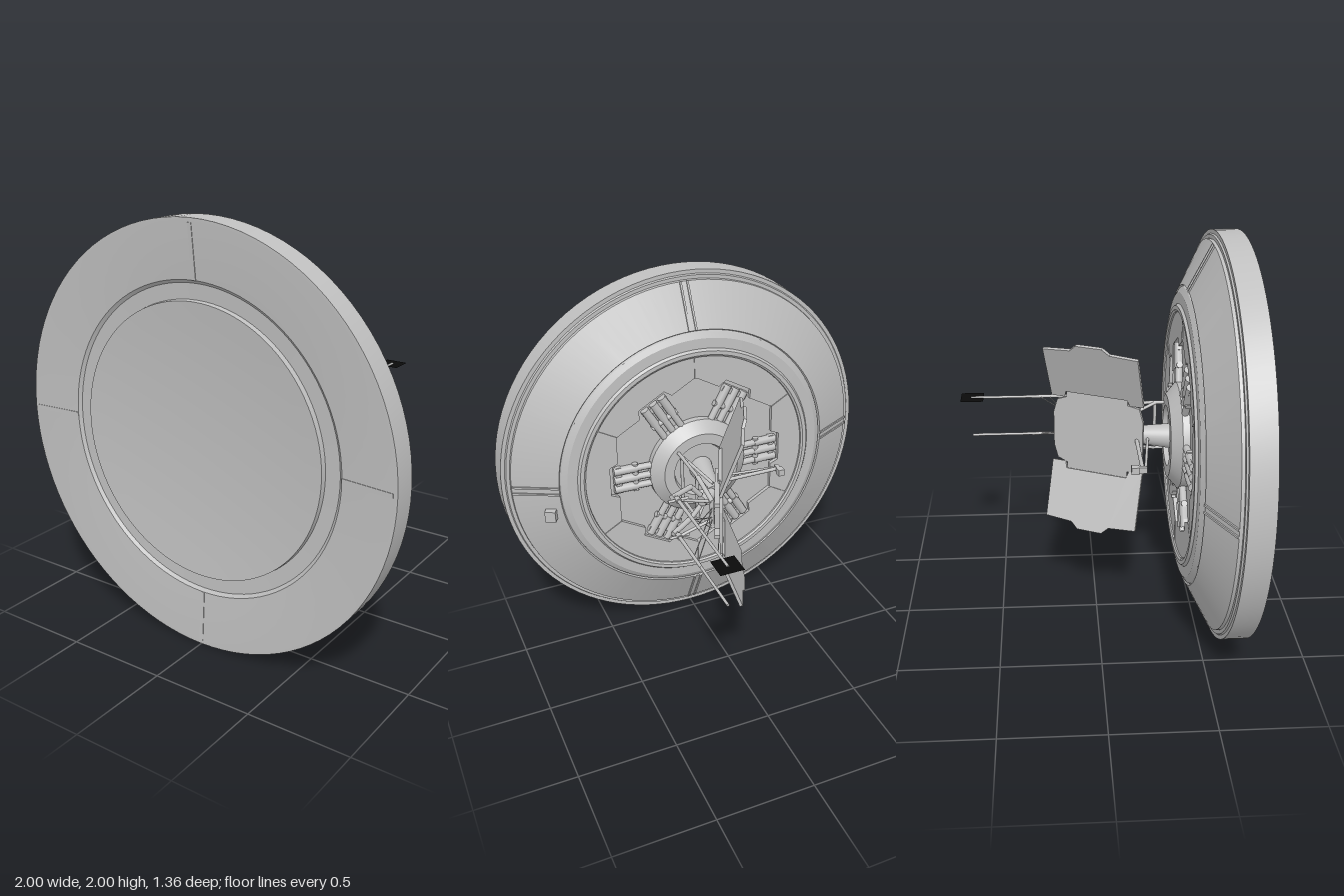
import * as THREE from 'three';
import { toCreasedNormals } from 'three/addons/utils/BufferGeometryUtils.js';

const grey = new THREE.MeshStandardMaterial({ color: 0xc0c0c0 });
grey.name = 'hull grey';
const black = new THREE.MeshStandardMaterial({ color: 0x0a0a0a, side: THREE.DoubleSide });
black.name = 'matte black';

const V = (x, y, z) => new THREE.Vector3(x, y, z);

function add(parent, name, geo, mat = grey) {
  const m = new THREE.Mesh(geo, mat);
  m.name = name;
  parent.add(m);
  return m;
}

// Round bar between two points, optionally tapered
function strut(parent, name, a, b, r, r2 = r, sides = 10) {
  const dir = b.clone().sub(a);
  const m = add(parent, name, new THREE.CylinderGeometry(r2, r, dir.length(), sides));
  m.position.copy(a).add(b).multiplyScalar(0.5);
  m.quaternion.setFromUnitVectors(V(0, 1, 0), dir.normalize());
  return m;
}

// Turned part about the z axis; profile pairs are [radius, z]
function turned(parent, name, pts, seg = 96) {
  const g = new THREE.LatheGeometry(pts.map(p => new THREE.Vector2(p[0], p[1])), seg);
  g.rotateX(Math.PI / 2);
  return add(parent, name, toCreasedNormals(g, 0.3));
}

function plate(parent, name, pts, depth) {
  const g = new THREE.ExtrudeGeometry(new THREE.Shape(pts.map(p => new THREE.Vector2(p[0], p[1]))),
    { depth, bevelEnabled: false });
  g.translate(0, 0, -depth / 2);
  return add(parent, name, g);
}

// Thin rail laid radially along a sloping surface from [r, z] to [r, z]
function radialRail(parent, name, p, q, offset, w, h) {
  const len = Math.hypot(q[0] - p[0], q[1] - p[1]);
  const m = add(parent, name, new THREE.BoxGeometry(len, w, h));
  m.position.set((p[0] + q[0]) / 2, offset, (p[1] + q[1]) / 2);
  m.rotation.y = -Math.atan2(q[1] - p[1], q[0] - p[0]);
}

function buildDish(g) {
  // Rear bay, lip, sloping back, rim, shallow front ring, raised front disc
  const profile = [[0, 0.43], [0.605, 0.43], [0.608, 0.402], [0.618, 0.395], [0.638, 0.395], [0.648, 0.408],
    [0.7, 0.41], [0.728, 0.426], [0.733, 0.436], [0.739, 0.427], [0.955, 0.537], [0.957, 0.552], [0.975, 0.552],
    [0.98, 0.56], [1, 0.56], [1, 0.68], [0.985, 0.68], [0.735, 0.658], [0.72, 0.645], [0.648, 0.642], [0.645, 0.668]];
  for (let i = 1; i <= 8; i++) {
    const r = 0.645 * (1 - i / 8);
    profile.push([r, 0.636 + 0.032 * (r / 0.645) ** 2]);
  }
  turned(g, 'dish', profile);

  // Seams dividing the dish into quarters
  for (let i = 0; i < 4; i++) {
    const seam = new THREE.Group();
    seam.name = 'quarterSeam';
    seam.rotation.z = i * Math.PI / 2;
    for (const s of [-1, 1]) {
      radialRail(seam, 'rearSeamRail', [0.738, 0.427], [0.955, 0.537], s * 0.018, 0.01, 0.014);
    }
    radialRail(seam, 'frontSeamRail', [0.735, 0.657], [0.98, 0.678], 0, 0.02, 0.008);
    g.add(seam);
  }

  // Small sensor box on the rear slope
  const box = add(g, 'sensorBox', new THREE.BoxGeometry(0.055, 0.06, 0.045));
  box.position.set(0.79, -0.135, 0.443);
  box.rotation.y = -0.49;
}

function buildRearBay(g) {
  // Floor plates with a hexagonal opening notched for each actuator
  const shape = new THREE.Shape().absarc(0, 0, 0.606, 0, Math.PI * 2);
  const hole = new THREE.Path();
  const apothem = 0.43, half = 0.248;
  const edge = [[apothem, -half], [apothem, -0.1], [0.475, -0.08], [0.475, 0.08], [apothem, 0.1]];
  const pts = [];
  for (let i = 0; i < 6; i++) {
    const a = i * Math.PI / 3;
    for (const [x, y] of edge) {
      pts.push(new THREE.Vector2(x * Math.cos(a) - y * Math.sin(a), x * Math.sin(a) + y * Math.cos(a)));
    }
  }
  hole.setFromPoints(pts.reverse());
  shape.holes.push(hole);
  const floor = new THREE.ExtrudeGeometry(shape, { depth: 0.025, bevelEnabled: false, curveSegments: 48 });
  floor.translate(0, 0, 0.409);
  add(g, 'bayPlates', floor);

  for (let i = 0; i < 6; i++) {
    const unit = new THREE.Group();
    unit.name = 'actuator';
    unit.rotation.z = i * Math.PI / 3;
    // Triple cylinders with a cross shaft and foot
    for (const y of [-0.052, 0, 0.052]) {
      strut(unit, 'actuatorRod', V(0.24, y, 0.41), V(0.36, y, 0.415), 0.018);
      strut(unit, 'actuatorBody', V(0.33, y, 0.415), V(0.455, y, 0.418), 0.023);
    }
    strut(unit, 'actuatorShaft', V(0.34, -0.078, 0.415), V(0.34, 0.078, 0.415), 0.016);
    const foot = add(unit, 'actuatorFoot', new THREE.BoxGeometry(0.03, 0.15, 0.025));
    foot.position.set(0.43, 0, 0.42);
    // Plate seam at the hexagon corner
    const seam = new THREE.Group();
    seam.rotation.z = Math.PI / 6;
    seam.name = 'plateSeam';
    radialRail(seam, 'plateSeamRail', [0.495, 0.409], [0.606, 0.409], 0, 0.008, 0.01);
    unit.add(seam);
    g.add(unit);
  }

  // Recessed hub collar and leaning, tapered post
  turned(g, 'hub', [[0, 0.37], [0.14, 0.37], [0.15, 0.345], [0.205, 0.345], [0.265, 0.395], [0.265, 0.43]], 48);
  strut(g, 'post', V(-0.005, 0, 0.375), V(0.032, 0, 0.115), 0.063, 0.034, 32);
}

function buildPanel(g) {
  // Three-leaf panel with both outer leaves folded back
  const panel = new THREE.Group();
  panel.name = 'foldedPanel';
  panel.position.set(0.035, 0, 0.005);
  panel.rotation.y = Math.atan2(0.91, 0.4);
  plate(panel, 'centreLeaf', [[-0.24, -0.1], [-0.22, -0.17], [-0.16, -0.18], [-0.16, -0.22], [0.16, -0.22],
    [0.16, -0.18], [0.21, -0.16], [0.23, -0.09], [0.23, 0.09], [0.21, 0.16], [0.16, 0.18], [0.16, 0.22],
    [-0.16, 0.22], [-0.16, 0.18], [-0.22, 0.17], [-0.24, 0.1]], 0.016);
  for (const s of [1, -1]) {
    const wing = plate(panel, 'outerLeaf', [[-0.24, -0.01], [-0.17, -0.01], [-0.16, 0.025], [0.16, 0.025],
      [0.17, -0.01], [0.24, -0.01], [0.24, 0.285], [0.1, 0.295], [0.065, 0.328], [-0.065, 0.328],
      [-0.1, 0.295], [-0.24, 0.285]], 0.016);
    wing.position.y = s * 0.19;
    wing.rotation.set(-s * 0.35, 0, s > 0 ? 0 : Math.PI);
    strut(panel, 'hinge', V(-0.15, s * 0.21, 0.006), V(0.15, s * 0.21, 0.006), 0.011);
  }
  // Backing frame of the centre leaf
  for (const y of [-0.09, 0.09]) {
    add(panel, 'backRib', new THREE.BoxGeometry(0.34, 0.02, 0.03)).position.set(0, y, 0.018);
  }
  for (const x of [-0.1, 0.1]) {
    add(panel, 'backRib', new THREE.BoxGeometry(0.02, 0.18, 0.03)).position.set(x, 0, 0.018);
  }
  g.add(panel);
}

function buildFrame(g) {
  strut(g, 'pivotShaft', V(0.04, 0, 0.11), V(0.12, 0, 0.06), 0.028, 0.028, 16);
  for (const s of [1, -1]) {
    const y = s * 0.125, b = s * 0.105;
    // Support rails and truss
    strut(g, 'supportRail', V(0.125, y, 0.36), V(0.125, y, 0.09), 0.009);
    strut(g, 'supportRail', V(0.125, y, 0.09), V(0.115, s * 0.07, -0.07), 0.012);
    strut(g, 'diagonalBrace', V(0.12, y, 0.3), V(0.04, s * 0.06, 0.1), 0.008);
    strut(g, 'crossBrace', V(0.05, 0, 0.13), V(0.125, y, 0.1), 0.008);
    strut(g, 'boomBrace', V(0.12, s * 0.03, 0.07), V(0.17, s * 0.09, 0.07), 0.013);
    strut(g, 'boomArm', V(0.17, s * 0.09, 0.07), V(0.3, b, -0.01), 0.014);
    strut(g, 'boomStay', V(0.1, s * 0.05, -0.04), V(0.28, b, -0.04), 0.008);
    // Antenna booms
    strut(g, 'boomBase', V(0.28, b, 0), V(0.28, b, -0.32), 0.01, 0.008);
    strut(g, 'boom', V(0.28, b, -0.3), V(0.28, b, -0.63), 0.007);
    strut(g, 'boomCrossbar', V(0.225, b, -0.04), V(0.33, b, -0.04), 0.007);
    strut(g, 'boomCollar', V(0.28, b, -0.025), V(0.28, b, -0.055), 0.015);
    strut(g, 'stayWire', V(0.28, b, -0.28), V(0.11, s * 0.03, -0.06), 0.0025, 0.0025, 6);
    strut(g, 'stayWire', V(0.28, b, -0.23), V(0.12, -s * 0.02, -0.07), 0.0025, 0.0025, 6);
  }
  for (const z of [0.3, 0.1]) {
    strut(g, 'frameUpright', V(0.125, -0.125, z), V(0.125, 0.125, z), 0.009);
  }
  strut(g, 'frameUpright', V(0.115, -0.075, -0.06), V(0.115, 0.075, -0.06), 0.012);

  // Black plate crossing the upper boom tip
  const tip = add(g, 'tipPlate', new THREE.PlaneGeometry(0.115, 0.115).rotateX(-Math.PI / 2), black);
  tip.position.set(0.28, 0.106, -0.6225);

  // Side arm with small feed block
  strut(g, 'sideArm', V(-0.02, 0, 0.195), V(-0.37, 0, 0.195), 0.01);
  strut(g, 'sideArmStay', V(-0.03, 0, 0.25), V(-0.35, 0, 0.21), 0.007);
  add(g, 'feedBlock', new THREE.BoxGeometry(0.032, 0.035, 0.036)).position.set(-0.365, 0, 0.16);
  add(g, 'feedFoot', new THREE.BoxGeometry(0.02, 0.03, 0.04)).position.set(-0.365, 0, 0.195);
}

export function createModel() {
  const model = new THREE.Group();
  model.name = 'dishAntenna';
  const body = new THREE.Group();
  body.name = 'assembly';
  body.position.y = 1;
  buildDish(body);
  buildRearBay(body);
  buildPanel(body);
  buildFrame(body);
  model.add(body);
  return model;
}
